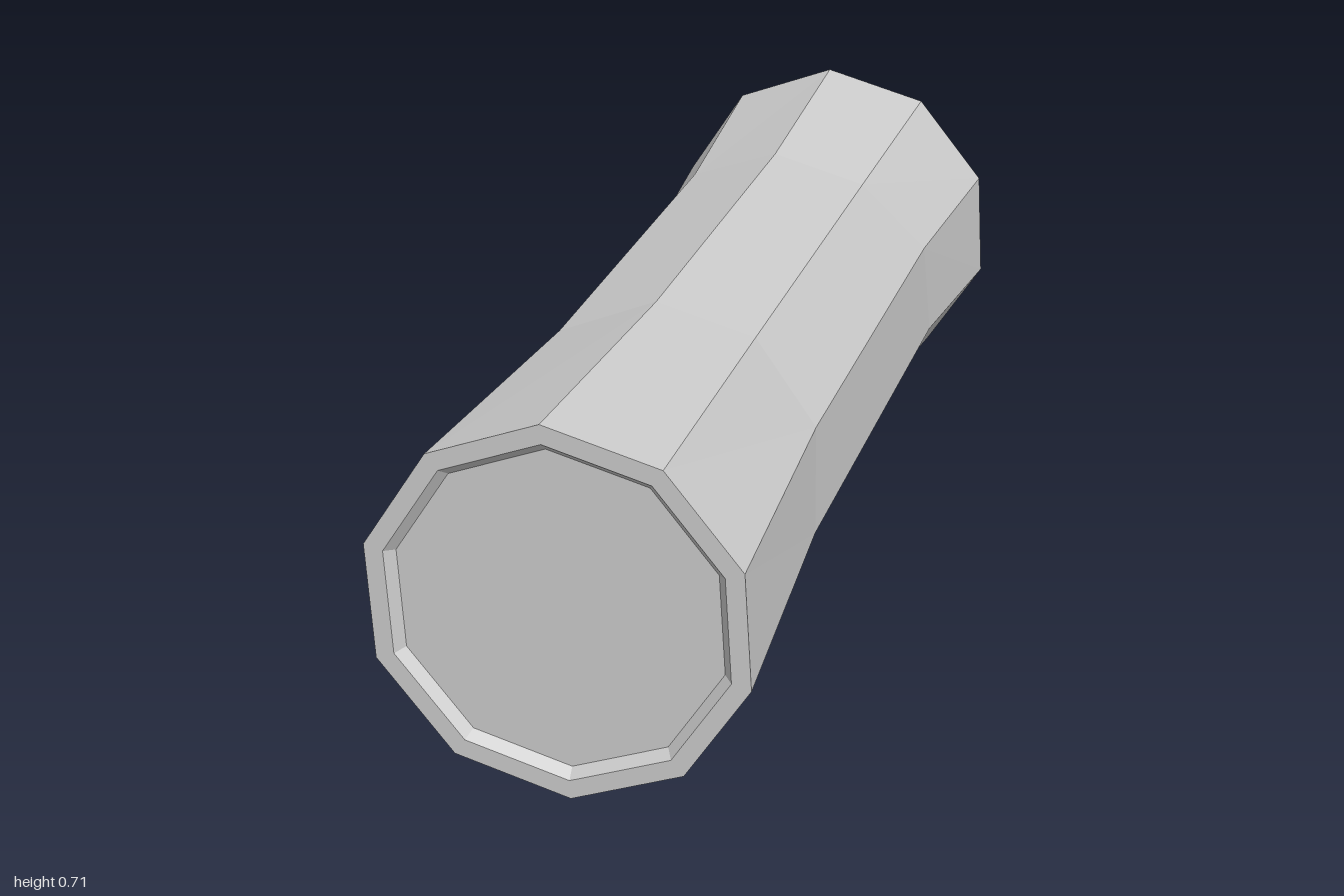
import * as THREE from 'three';

const SIDES = 10;
const START = THREE.MathUtils.degToRad(93.2); // slight roll of the decagon
const CENTER_Y = 0.357;

// One cross-section; z is a number or one value per corner
function ring(radius, z) {
  return Array.from({ length: SIDES }, (_, i) => {
    const a = START + (i / SIDES) * Math.PI * 2;
    return new THREE.Vector3(
      Math.cos(a) * radius,
      CENTER_Y + Math.sin(a) * radius,
      Array.isArray(z) ? z[i] : z
    );
  });
}

// Flat-shaded skin through a run of cross-sections
function loft(name, rings, material) {
  const points = [];
  const addTriangle = (a, b, c) => {
    const area = b.clone().sub(a).cross(c.clone().sub(a)).length();
    if (area > 1e-8) points.push(a, b, c);
  };
  for (let r = 0; r < rings.length - 1; r++) {
    for (let i = 0; i < SIDES; i++) {
      const j = (i + 1) % SIDES;
      const [a, b, c, d] = [rings[r][i], rings[r][j], rings[r + 1][i], rings[r + 1][j]];
      addTriangle(a, c, b);
      addTriangle(b, c, d);
    }
  }
  const geometry = new THREE.BufferGeometry().setFromPoints(points);
  geometry.computeVertexNormals();
  const mesh = new THREE.Mesh(geometry, material);
  mesh.name = name;
  return mesh;
}

export function createModel() {
  const group = new THREE.Group();
  group.name = 'waistedColumn';
  const material = new THREE.MeshStandardMaterial({ color: 0xcccccc, flatShading: true });

  // Body: flared ends and a straight waist with uneven shoulders
  const frontShoulder = [0.35, 0.37, 0.39, 0.38, 0.3, 0.25, 0.4, 0.42, 0.38, 0.35];
  const backShoulder = [-0.51, -0.53, -0.56, -0.58, -0.6, -0.6, -0.6, -0.6, -0.57, -0.51];
  group.add(loft('body', [
    ring(0.355, 1),
    ring(0.318, frontShoulder),
    ring(0.318, backShoulder),
    ring(0.355, -1)
  ], material));

  // Ends: flat rim, sloped step and shallow recessed face
  const endProfile = [[0, 0.98], [0.302, 0.98], [0.319, 1], [0.355, 1]];
  group.add(loft('frontEnd', endProfile.map(([r, z]) => ring(r, z)), material));
  group.add(loft('backEnd', endProfile.map(([r, z]) => ring(r, -z)).reverse(), material));

  return group;
}
